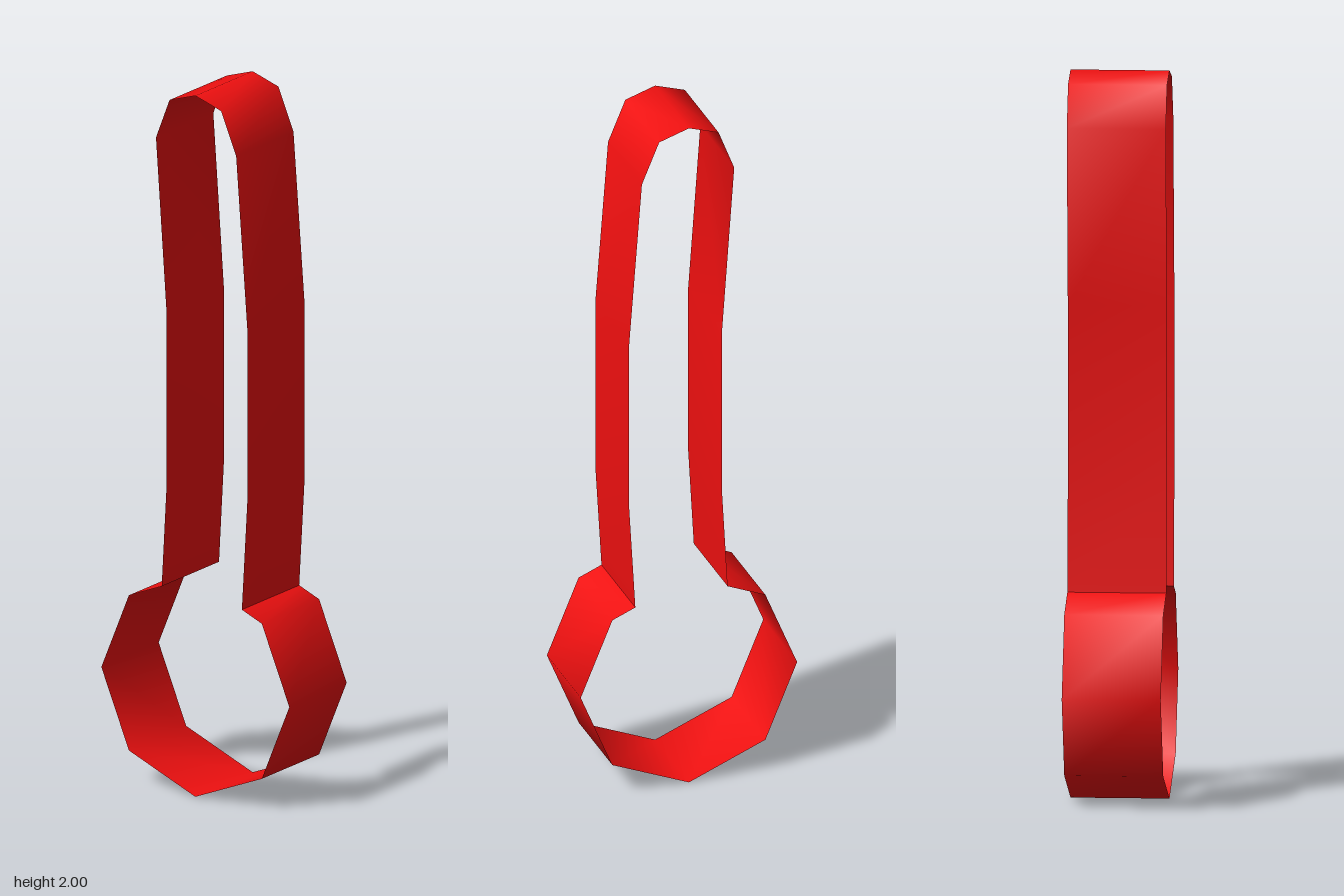
import * as THREE from 'three';
import { toCreasedNormals } from 'three/addons/utils/BufferGeometryUtils.js';

const DEPTH = 0.27;

// Closed thin ribbon: an outline in x/y swept along z
function ribbon(outline) {
  const pos = [], index = [], n = outline.length;
  for (const [x, y] of outline) pos.push(x, y, DEPTH / 2, x, y, -DEPTH / 2);
  for (let i = 0; i < n; i++) {
    const a = 2 * i, b = 2 * ((i + 1) % n);
    index.push(a, a + 1, b, b, a + 1, b + 1);
  }
  const g = new THREE.BufferGeometry();
  g.setAttribute('position', new THREE.Float32BufferAttribute(pos, 3));
  g.setIndex(index);
  return toCreasedNormals(g, Math.PI / 3);
}

export function createModel() {
  const group = new THREE.Group();
  group.name = 'ribbonLoop';
  const material = new THREE.MeshStandardMaterial({ color: 0xf01010, side: THREE.DoubleSide });

  // Octagonal bowl, open at the top, clockwise from the right arm
  const outline = [[0.155, 0.562]];
  const r = 0.313;
  for (let i = 0; i < 7; i++) {
    const a = Math.PI / 4 * (1 - i);
    outline.push([r * Math.cos(a), r + r * Math.sin(a)]);
  }

  // Left arm, rounded top, then right arm; both bend towards +x
  outline.push(
    [-0.112, 0.58], [-0.096, 0.865], [-0.096, 1.367], [-0.131, 1.857],
    [-0.086, 1.972], [0, 2], [0.086, 1.972], [0.136, 1.852],
    [0.173, 1.367], [0.173, 0.87],
  );

  const loop = new THREE.Mesh(ribbon(outline), material);
  loop.name = 'cutterBand';
  group.add(loop);
  return group;
}
